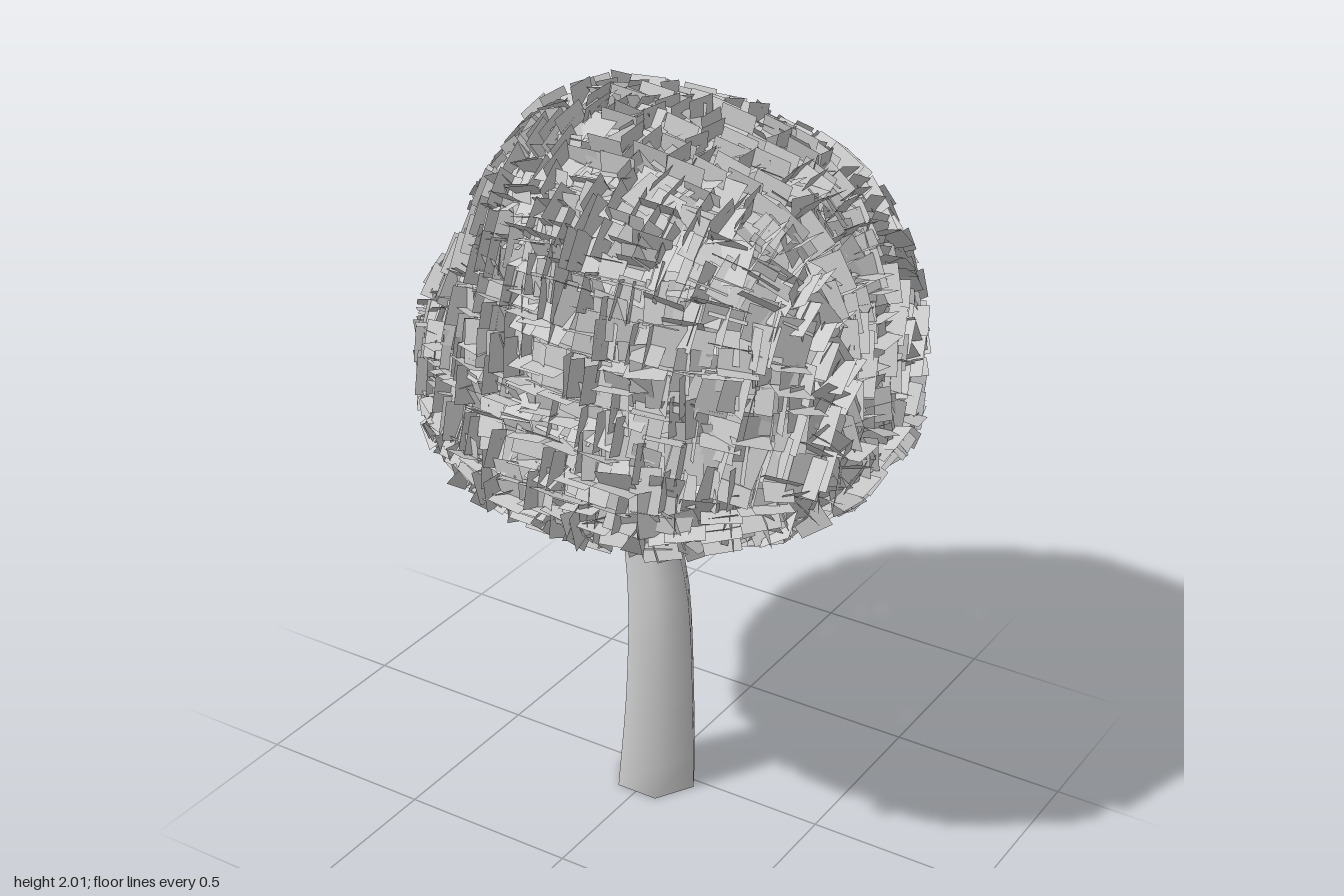
import * as THREE from 'three';

const grey = new THREE.MeshStandardMaterial({ color: 0xcccccc, side: THREE.DoubleSide });

let seed = 7;
const rand = () => ((seed = (seed * 16807) % 2147483647) / 2147483647);
const spread = (a) => (rand() * 2 - 1) * a;

// Open six-sided limb swept through horizontal rings [x, y, z, radius]
function limb(name, rings, sides = 6) {
  const curve = new THREE.CatmullRomCurve3(rings.map(([x, y, z]) => new THREE.Vector3(x, y, z)));
  const steps = (rings.length - 1) * 3;
  const pos = [], idx = [];
  for (let i = 0; i <= steps; i++) {
    const t = i / steps, k = t * (rings.length - 1), n = Math.min(Math.floor(k), rings.length - 2);
    const p = curve.getPoint(t);
    const r = THREE.MathUtils.lerp(rings[n][3], rings[n + 1][3], k - n);
    for (let j = 0; j < sides; j++) {
      const a = (j / sides) * Math.PI * 2;
      pos.push(p.x + r * Math.cos(a), p.y, p.z + r * Math.sin(a));
      if (i < steps) {
        const b = i * sides + j, c = i * sides + ((j + 1) % sides);
        idx.push(b, b + sides, c, c, b + sides, c + sides);
      }
    }
  }
  const g = new THREE.BufferGeometry();
  g.setAttribute('position', new THREE.Float32BufferAttribute(pos, 3));
  g.setIndex(idx);
  g.computeVertexNormals();
  const mesh = new THREE.Mesh(g, grey);
  mesh.name = name;
  return mesh;
}

// Plan outline of the crown: radius every 30 degrees from +x towards +z
const outline = [0.65, 0.72, 0.68, 0.605, 0.595, 0.61, 0.675, 0.73, 0.655, 0.605, 0.63, 0.66];
// Side profiles [radius share, height] at +x, +z, -x and -z, from the lower rim to the top
const profiles = [
  [[0.74, 1.1], [0.97, 1.19], [0.94, 1.4], [0.87, 1.62], [0.68, 1.8], [0.4, 1.87], [0, 1.93]],
  [[0.75, 1.06], [0.98, 1.14], [0.87, 1.38], [0.79, 1.62], [0.67, 1.78], [0.4, 1.89], [0, 1.93]],
  [[0.76, 1.12], [0.93, 1.17], [0.99, 1.3], [0.78, 1.56], [0.6, 1.79], [0.35, 1.93], [0, 1.94]],
  [[0.68, 1.1], [0.88, 1.18], [0.98, 1.4], [0.87, 1.63], [0.63, 1.8], [0.35, 1.9], [0, 1.93]],
].map((p) => new THREE.CatmullRomCurve3(p.map(([r, y]) => new THREE.Vector3(r, y, 0))));

function crownPoint(u, v) {
  const w = ((u % 1) + 1) % 1, smooth = THREE.MathUtils.smoothstep;
  const o = w * 12, n = Math.floor(o), q = w * 4, m = Math.floor(q);
  const r = THREE.MathUtils.lerp(outline[n % 12], outline[(n + 1) % 12], smooth(o - n, 0, 1));
  const p = profiles[m % 4].getPoint(v).lerp(profiles[(m + 1) % 4].getPoint(v), smooth(q - m, 0, 1));
  const a = w * Math.PI * 2, rad = p.x * r;
  // The summit leans a little towards -x
  return new THREE.Vector3(rad * Math.cos(a) - 0.06 * v * v * (1 - p.x), p.y, rad * Math.sin(a));
}

// Crown of leaf cards: some lie on the shell, some stand across it
function crown() {
  const pos = [];
  const card = (c, s, t, w, h) => {
    const corner = (i, j) => c.clone().addScaledVector(s, i * w / 2).addScaledVector(t, j * h / 2);
    const [a, b, d, e] = [corner(-1, -1), corner(1, -1), corner(1, 1), corner(-1, 1)];
    for (const p of [a, b, d, a, d, e]) pos.push(p.x, p.y, p.z);
  };
  const rows = 26;
  for (let i = 0; i < rows; i++) {
    const v = (i + 0.4) / rows;
    const p0 = crownPoint(0.1, v);
    const count = Math.max(9, Math.round((Math.hypot(p0.x, p0.z) * Math.PI * 2) / 0.058));
    for (let j = 0; j < count; j++) {
      const u = (j + (i % 2) * 0.5 + spread(0.3)) / count;
      const c = crownPoint(u, v);
      // Arched notch in the back of the rim
      if (c.y < 0.95 + 0.42 * Math.exp(-(((u - 0.72) / 0.06) ** 2))) continue;
      const around = crownPoint(u + 0.004, v).sub(crownPoint(u - 0.004, v));
      const rise = crownPoint(u, Math.min(v + 0.01, 1)).sub(crownPoint(u, Math.max(v - 0.01, 0)));
      const out = rise.cross(around).normalize();
      c.addScaledVector(out, spread(0.015));
      // Card edges line up with circles about the x axis
      const t = new THREE.Vector3(1, 0, 0).cross(out).normalize();
      const s = t.clone().cross(out).normalize();
      // Shingle tilted on the shell
      const hinge = rand() < 0.5 ? s : t;
      const tilt = spread(0.85), turn = spread(0.2);
      const lay = (d) => d.clone().applyAxisAngle(hinge, tilt).applyAxisAngle(out, turn);
      card(c, lay(s), lay(t), 0.085 + spread(0.015), 0.1 + spread(0.02));
      // Card standing on edge, along or across the circles
      const edge = rand() < 0.5 ? s : t;
      const o = out.clone().applyAxisAngle(edge, spread(0.35));
      const e = edge.clone().applyAxisAngle(out, spread(0.1));
      if (rand() < 0.8) card(c, e, o, 0.1, 0.1);
    }
  }
  const g = new THREE.BufferGeometry();
  g.setAttribute('position', new THREE.Float32BufferAttribute(pos, 3));
  g.computeVertexNormals();
  const mesh = new THREE.Mesh(g, grey);
  mesh.name = 'leafCrown';
  return mesh;
}

export function createModel() {
  seed = 7;
  const tree = new THREE.Group();
  tree.name = 'tree';
  tree.add(
    limb('trunk', [[0.003, 0, 0.03, 0.122], [0.016, 0.3, 0.034, 0.106], [0.008, 0.6, 0.028, 0.094],
      [-0.033, 0.8, 0.012, 0.08], [-0.06, 0.93, 0, 0.068]]),
    limb('rightBranch', [[-0.055, 0.88, 0.002, 0.07], [-0.095, 1.05, 0, 0.055], [-0.2, 1.46, -0.01, 0.03]]),
    limb('leftBranch', [[-0.055, 0.86, 0.002, 0.07], [-0.02, 1.05, 0, 0.053], [0.12, 1.33, 0.01, 0.03]]),
    crown(),
  );
  return tree;
}
